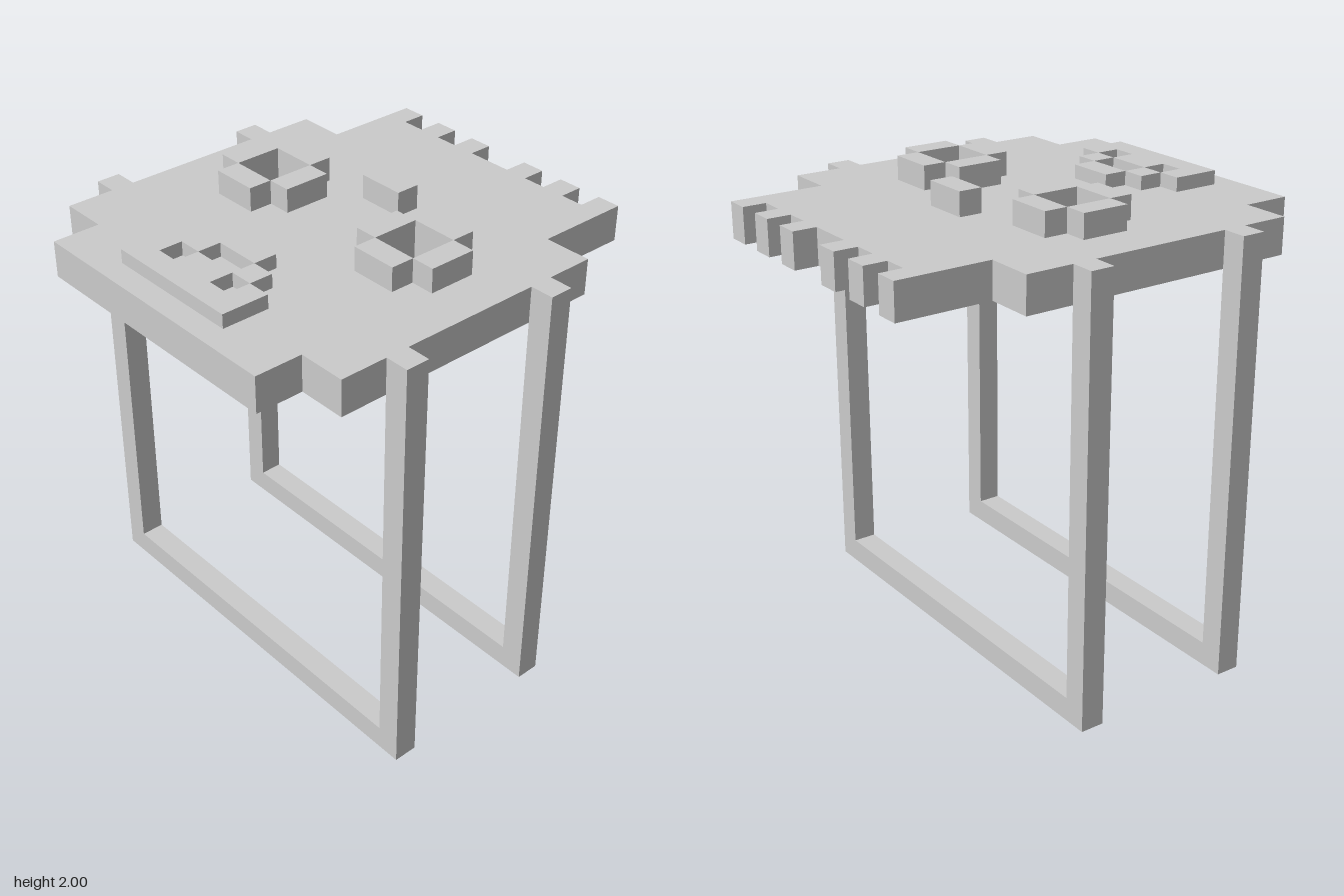
import * as THREE from 'three';

// Everything sits on a square grid: 19.5 cells tall
const U = 2 / 19.5;
const TOP = 18.5, THICK = 1.5;

const material = new THREE.MeshStandardMaterial({ color: 0xcccccc, flatShading: true });

function addMesh(parent, name, geometry) {
  const mesh = new THREE.Mesh(geometry, material);
  mesh.name = name;
  parent.add(mesh);
  return mesh;
}

// Block given by its cell ranges
function block(parent, name, [x0, x1], [y0, y1], [z0, z1]) {
  const mesh = addMesh(parent, name, new THREE.BoxGeometry((x1 - x0) * U, (y1 - y0) * U, (z1 - z0) * U));
  mesh.position.set((x0 + x1) / 2 * U, (y0 + y1) / 2 * U, (z0 + z1) / 2 * U);
}

const toPoints = (cells) => cells.map(([a, b]) => new THREE.Vector2(a * U, b * U));

// Adds the mirrored left/right half to a half outline
const mirrored = (half) => [...half, ...half.map(([x, z]) => [-x, z]).reverse()];

// Flat slab from an (x, z) outline, rising from cell height y0 to y1
function slab(parent, name, outline, y0, y1, holes = []) {
  const flip = (cells) => toPoints(cells.map(([x, z]) => [x, -z]));
  const shape = new THREE.Shape(flip(outline));
  shape.holes = holes.map((h) => new THREE.Path(flip(h)));
  const geometry = new THREE.ExtrudeGeometry(shape, { depth: (y1 - y0) * U, bevelEnabled: false });
  geometry.rotateX(-Math.PI / 2);
  geometry.translate(0, y0 * U, 0);
  addMesh(parent, name, geometry);
}

export function createModel() {
  const model = new THREE.Group();
  model.name = 'faceTable';

  // Stepped table top with hair tufts on the back edge and two square eye holes
  const half = [
    [6, 9], [6, 7], [8, 7], [8, -5], [6, -5], [6, -9], [5, -9], [5, -8],
    [4, -8], [4, -9], [3, -9], [3, -8], [2, -8], [2, -9], [1, -9], [1, -8],
  ];
  const eyeHole = (s) => [[3 * s, -1], [5 * s, -1], [5 * s, 1], [3 * s, 1]];
  slab(model, 'tableTop', mirrored(half), TOP - THICK, TOP, [eyeHole(1), eyeHole(-1)]);

  // U-shaped leg frames
  const frameShape = new THREE.Shape(toPoints(mirrored([[9, 0], [9, TOP], [8, TOP], [8, 1]])));
  for (const [name, z] of [['frontLegFrame', 4], ['backLegFrame', -3]]) {
    const geometry = new THREE.ExtrudeGeometry(frameShape, { depth: U, bevelEnabled: false });
    addMesh(model, name, geometry).position.z = z * U;
  }

  // Raised blocks around each eye hole
  const raised = [TOP, TOP + 1];
  for (const [name, cx] of [['leftEye', 4], ['rightEye', -4]]) {
    const eye = new THREE.Group();
    eye.name = name;
    for (const s of [-1, 1]) {
      block(eye, 'eyeLid', [cx - 1, cx + 1], raised, [1.5 * s - 0.5, 1.5 * s + 0.5]);
      block(eye, 'eyeSide', [cx + 1.5 * s - 0.5, cx + 1.5 * s + 0.5], raised, [-1, 1]);
    }
    model.add(eye);
  }

  // Forehead mark
  block(model, 'foreheadMark', [-1, 1], raised, [-3, -2]);

  // Low nose bridge and nostril sides
  const low = [TOP, TOP + 0.58];
  block(model, 'noseBridge', [-1, 1], low, [4, 5]);
  for (const s of [-1, 1]) block(model, 'noseSide', [1.5 * s - 0.5, 1.5 * s + 0.5], low, [5, 6]);

  // Mouth bar, notched behind the nose sides
  slab(model, 'mouth', mirrored([[3, 8], [3, 6], [2, 6], [2, 7], [1, 7], [1, 6]]), ...low);

  return model;
}
